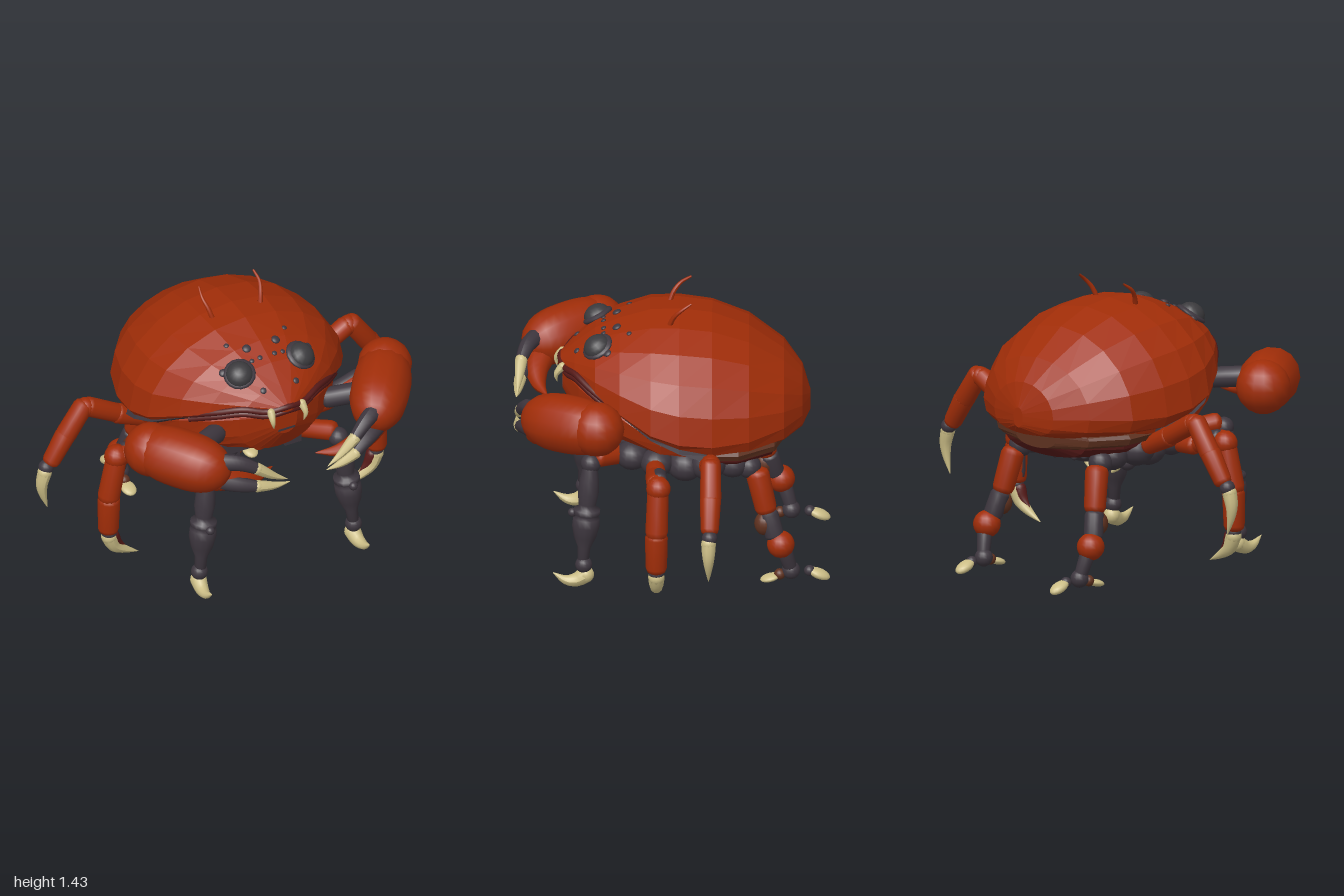
import * as THREE from 'three';

const mat = (name, color) => Object.assign(new THREE.MeshStandardMaterial({ color }), { name });
const shell = mat('rust shell', 0xa02d08);
const dark = mat('dark joint', 0x3d363e);
const cream = mat('cream claw', 0xcbbd86);
const maroon = mat('maroon underside', 0x561a18);
const brown = mat('brown plate', 0x5e311f);
const eyeGrey = mat('grey eye', 0x3b3a3d);

// Cross-sections along z: [z, half width, top y, rim y, bottom y]
const CARAPACE = [
  [-0.68, 0.03, 0.88, 0.84, 0.78], [-0.64, 0.2, 1.0, 0.84, 0.74], [-0.55, 0.36, 1.11, 0.85, 0.72],
  [-0.38, 0.49, 1.235, 0.84, 0.72], [-0.2, 0.55, 1.305, 0.84, 0.73], [-0.04, 0.565, 1.325, 0.86, 0.79],
  [0.1, 0.54, 1.32, 0.9, 0.85], [0.25, 0.45, 1.275, 0.97, 0.94], [0.37, 0.34, 1.22, 1.02, 1.0],
  [0.47, 0.19, 1.14, 1.05, 1.03], [0.55, 0.03, 1.07, 1.06, 1.04]];
const SEAM = CARAPACE.slice(4).map(([z, w, , r, b]) => [z * 0.97, w * 0.955, r, b + 0.01, b - 0.015]);
const LOWER = [
  [-0.35, 0.4, 0.82, 0.78, 0.7], [-0.15, 0.49, 0.86, 0.78, 0.7], [0.05, 0.51, 0.92, 0.83, 0.71],
  [0.22, 0.43, 1.0, 0.92, 0.72], [0.36, 0.33, 1.03, 0.97, 0.74], [0.45, 0.22, 1.04, 1.0, 0.77],
  [0.53, 0.06, 1.04, 1.01, 0.9]];
const REAR = [
  [-0.54, 0.12, 0.76, 0.73, 0.66], [-0.49, 0.28, 0.78, 0.73, 0.61], [-0.32, 0.38, 0.8, 0.73, 0.59],
  [-0.15, 0.4, 0.8, 0.74, 0.6], [-0.08, 0.36, 0.8, 0.75, 0.66]];
const REAR_RIM = REAR.map(([z, w, t, r]) => [z * 1.03, w * 1.12, t, r, r - 0.07]);
const BELLY = [
  [-0.36, 0.08, 0.7, 0.65, 0.58], [-0.25, 0.18, 0.75, 0.66, 0.54], [-0.1, 0.21, 0.76, 0.67, 0.525],
  [0.0, 0.21, 0.76, 0.67, 0.53]];
const CHEST = [[-0.02, 0.17, 0.75, 0.68, 0.52], [0.1, 0.17, 0.75, 0.69, 0.55], [0.2, 0.16, 0.75, 0.71, 0.6],
  [0.26, 0.15, 0.75, 0.72, 0.67]];

// Lofted body with elliptical upper and squarer lower halves, faceted
const LOW_POWER = 0.6;
function loft(stations, n = 24) {
  const pos = [], idx = [], m = stations.length;
  for (const [z, w, top, rim, bot] of stations)
    for (let j = 0; j < n; j++) {
      const a = (j / n) * Math.PI * 2, s = Math.sin(a);
      pos.push(w * Math.cos(a), s > 0 ? rim + s * (top - rim) : rim - (-s) ** LOW_POWER * (rim - bot), z);
    }
  for (const [z, , , rim] of [stations[0], stations[m - 1]]) pos.push(0, rim, z);
  for (let j = 0; j < n; j++) {
    const k = (j + 1) % n, e = (m - 1) * n;
    for (let i = 0; i < m - 1; i++) {
      const a = i * n + j, b = i * n + k;
      idx.push(a, b, a + n, b, b + n, a + n);
    }
    idx.push(m * n, k, j, m * n + 1, e + j, e + k);
  }
  const g = new THREE.BufferGeometry();
  g.setAttribute('position', new THREE.Float32BufferAttribute(pos, 3));
  g.setIndex(idx);
  const flat = g.toNonIndexed();
  flat.computeVertexNormals();
  return flat;
}

// Height of a lofted surface at x, z (side 1 = upper, -1 = lower)
function surfaceY(st, x, z, side) {
  let i = 0;
  while (i < st.length - 2 && st[i + 1][0] < z) i++;
  const t = (z - st[i][0]) / (st[i + 1][0] - st[i][0]);
  const [, w, top, rim, bot] = st[i].map((v, k) => v + (st[i + 1][k] - v) * t);
  const s = Math.sqrt(Math.max(0, 1 - (x / w) ** 2));
  return side > 0 ? rim + (top - rim) * s : rim - (rim - bot) * s ** LOW_POWER;
}

const V = (p) => new THREE.Vector3(...p);
const pill = (a, b = a) => [[0, 0], [0.02, a * 0.55], [0.07, a * 0.88], [0.15, a], [0.5, (a + b) / 2],
  [0.85, b], [0.93, b * 0.88], [0.98, b * 0.55], [1, 0]];
const egg = (r) => Array.from({ length: 17 }, (_, i) => (1 - Math.cos((i / 16) * Math.PI)) / 2)
  .map((t) => [t, r * (1 - Math.abs(2 * t - 1) ** 2.8) ** 0.5]);

export function createModel() {
  const model = new THREE.Group();
  model.name = 'crab';
  let parent = model;
  const add = (name, geo, m) => {
    const mesh = new THREE.Mesh(geo, m);
    mesh.name = name;
    parent.add(mesh);
    return mesh;
  };
  const group = (name) => {
    parent = new THREE.Group();
    parent.name = name;
    model.add(parent);
  };
  // Turned limb between two points, profile of [fraction, radius]
  const limb = (name, m, a, b, profile) => {
    const A = V(a), d = V(b).sub(A), len = d.length();
    const mesh = add(name, new THREE.LatheGeometry(profile.map(([t, r]) => new THREE.Vector2(Math.max(r, 0), t * len)), 14), m);
    mesh.position.copy(A);
    mesh.quaternion.setFromUnitVectors(new THREE.Vector3(0, 1, 0), d.normalize());
  };
  const ball = (name, m, p, r, sx = 1, sy = 1, sz = 1) => {
    const mesh = add(name, new THREE.SphereGeometry(r, 16, 10), m);
    mesh.position.set(...p);
    mesh.scale.set(sx, sy, sz);
    return mesh;
  };
  const box = (name, m, p, s) => add(name, new THREE.BoxGeometry(...s), m).position.set(...p);
  // Curved tapering horn
  const horn = (name, m, pts, r, tip = 0.04) => {
    const curve = new THREE.CatmullRomCurve3(pts.map(V)), N = 10, R = 10;
    const g = new THREE.TubeGeometry(curve, N, r, R), p = g.attributes.position, v = new THREE.Vector3();
    for (let i = 0; i < p.count; i++) {
      const t = Math.floor(i / (R + 1)) / N, c = curve.getPointAt(t);
      v.fromBufferAttribute(p, i).sub(c).multiplyScalar(1 - (1 - tip) * t ** 1.5).add(c);
      p.setXYZ(i, v.x, v.y, v.z);
    }
    g.computeVertexNormals();
    add(name, g, m);
    ball(name + 'Base', m, pts[0], r);
  };
  // Flattened dome lying on the carapace
  const spot = (name, m, x, z, r, flat) => {
    const e = 0.02, y = surfaceY(CARAPACE, x, z, 1);
    const slope = (dx, dz) => (surfaceY(CARAPACE, x + dx, z + dz, 1) - surfaceY(CARAPACE, x - dx, z - dz, 1)) / (2 * e);
    const n = new THREE.Vector3(-slope(e, 0), 1, -slope(0, e)).normalize();
    ball(name, m, [x, y, z], r, 1, flat, 1).quaternion.setFromUnitVectors(new THREE.Vector3(0, 1, 0), n);
  };

  // Body shells
  group('body');
  add('carapace', loft(CARAPACE, 20), shell);
  add('rimSeam', loft(SEAM, 20), dark);
  add('lowerShell', loft(LOWER), shell);
  add('rearUnderside', loft(REAR), maroon);
  add('rearRim', loft(REAR_RIM), brown);
  add('belly', loft(BELLY), dark);
  for (let i = 0; i < 9; i++) {
    const x = ((i % 3) - 1) * 0.13, z = -0.28 - Math.floor(i / 3) * 0.07;
    ball('undersideSpot', dark, [x, surfaceY(REAR, x, z, -1), z], 0.016);
  }

  // Sloping chest plate
  add('chestPanel', loft(CHEST), maroon);
  box('chestBar', dark, [0, 0.722, 0.285], [0.42, 0.05, 0.06]);
  box('chestLowerBar', dark, [0, 0.525, 0.03], [0.25, 0.025, 0.05]);
  ball('chestSpot', shell, [0, 0.665, 0.262], 0.042, 1, 1, 0.25);
  for (const x of [-0.085, 0.085]) ball('chestStud', brown, [x, surfaceY(CHEST, x, 0.19, -1), 0.19], 0.02);

  // Mouth along the front rim
  const lip = [[-0.4, 0.97, 0.28], [-0.3, 1.02, 0.39], [-0.2, 1.05, 0.465], [-0.1, 1.035, 0.515], [0, 1.05, 0.54],
    [0.1, 1.035, 0.515], [0.2, 1.05, 0.465], [0.3, 1.02, 0.39], [0.4, 0.97, 0.28]];
  const lipTube = (dy, dz) => new THREE.TubeGeometry(new THREE.CatmullRomCurve3(lip.map(([x, y, z]) => new THREE.Vector3(x, y + dy, z + dz))), 40, 0.016, 8);
  add('upperLip', lipTube(0.014, 0), maroon);
  add('lowerLip', lipTube(-0.016, -0.008), maroon);
  box('chinSlot', dark, [0, 0.925, 0.525], [0.09, 0.012, 0.012]);

  for (const s of [-1, 1]) {
    const side = s > 0 ? 'left' : 'right';
    const P = (x, y, z) => [s * x, y, z];

    // Face
    group(side + 'Face');
    spot('eye', eyeGrey, s * 0.17, 0.36, 0.068, 0.85);
    spot('eyeSocket', dark, s * 0.168, 0.358, 0.08, 0.3);
    for (const [x, z, r] of [[0.04, 0.33, 0.013], [0.08, 0.265, 0.022], [0.16, 0.205, 0.013], [0.085, 0.33, 0.012],
      [0.09, 0.46, 0.016], [0.235, 0.31, 0.02]]) spot('faceSpot', dark, s * x, z, r, 0.5);
    horn('fang', cream, [P(0.085, 1.05, 0.53), P(0.09, 1.01, 0.56), P(0.082, 0.965, 0.555)], 0.02);
    horn('antenna', shell, [P(0.13, 1.29, 0.01), P(0.145, 1.35, -0.015), P(0.157, 1.39, -0.05), P(0.15, 1.425, -0.1)], 0.013, 0.4);
    horn('bellyHook', cream, [P(0.1, 0.545, -0.08), P(0.105, 0.5, -0.09), P(0.075, 0.47, -0.1)], 0.022, 0.3);

    // Chest rails and clustered hip pods
    horn('chestRail', dark, [P(0.17, 0.7, 0.27), P(0.17, 0.62, 0.21), P(0.17, 0.57, 0.1), P(0.17, 0.54, -0.1)], 0.042, 0.95);
    box('chestClasp', dark, P(0.17, 0.66, 0.25), [0.09, 0.09, 0.06]);
    ball('chestHinge', dark, P(0.17, 0.535, -0.09), 0.042);
    for (const [x, y, z, r] of [[0.27, 0.66, 0.19, 0.08], [0.31, 0.64, 0.07, 0.08], [0.29, 0.62, -0.07, 0.09],
      [0.32, 0.64, -0.18, 0.09], [0.27, 0.62, -0.3, 0.08]]) ball('hipPod', dark, P(x, y, z), r, 1, 0.9, 1);

    // Pincer, the left one raised
    group(side + 'Pincer');
    const up = s > 0 ? 0.07 : 0, x0 = s > 0 ? 0 : 0.025;
    limb('arm', dark, P(0.28, 0.9, 0.36), P(0.46, 0.92 + up * 0.4, 0.46), pill(0.052));
    ball('knuckle', shell, P(0.632 + x0, 0.915 + up, 0.36), 0.134);
    limb('palm', shell, P(0.685 + x0, 0.925 + up, 0.29), P(0.385 + x0, 0.905 + up * 0.4, 0.71), egg(0.145));
    const h = up * 0.5;
    for (const [name, pts] of [
      ['upperFinger', [P(0.44, 0.95 + h, 0.65), P(0.35, 0.945 + h * 0.5, 0.7), P(0.26, 0.9, 0.735), P(0.11, 0.8, 0.75)]],
      ['lowerFinger', [P(0.44, 0.84 + h, 0.65), P(0.35, 0.82 + h, 0.705), P(0.26, 0.8 + h * 0.4, 0.74), P(0.1, 0.785, 0.755)]]]) {
      horn(name, dark, pts.slice(0, 3), 0.045, 0.6);
      horn(name + 'Tip', cream, [pts[2].map((v, i) => v + (pts[1][i] - v) * 0.1), pts[2].map((v, i) => (v + pts[3][i]) / 2 - (i === 1 ? 0.008 : 0)), pts[3]], 0.03);
    }
    horn('thumb', shell, [P(0.44, 0.85 + h, 0.63), P(0.34, 0.82, 0.655), P(0.23, 0.79, 0.645), P(0.12, 0.785, 0.605)], 0.07);

    // Front leg
    group(side + 'FrontLeg');
    limb('thigh', shell, P(0.22, 0.645, 0.2), P(0.36, 0.69, 0.38), pill(0.046, 0.05));
    ball('knee', dark, P(0.36, 0.66, 0.39), 0.05);
    limb('shin', dark, P(0.365, 0.69, 0.39), P(0.425, 0.13, 0.43), [[0, 0], [0.02, 0.03], [0.1, 0.038], [0.2, 0.048], [0.32, 0.052],
      [0.42, 0.043], [0.46, 0.043], [0.47, 0.066], [0.51, 0.066], [0.53, 0.052], [0.55, 0.066], [0.62, 0.068], [0.72, 0.056],
      [0.82, 0.032], [0.95, 0.028], [1, 0]]);
    ball('shinKnob', dark, P(0.395, 0.41, 0.48), 0.022);
    ball('ankle', dark, P(0.425, 0.14, 0.425), 0.042);
    horn('footClaw', cream, [P(0.425, 0.085, 0.415), P(0.43, 0.06, 0.46), P(0.435, 0.06, 0.51), P(0.435, 0.1, 0.575)], 0.041);

    // Second leg
    group(side + 'SecondLeg');
    limb('thigh', shell, P(0.28, 0.63, 0.08), P(0.5, 0.645, 0.07), pill(0.045, 0.05));
    limb('outerThigh', shell, P(0.42, 0.63, 0.08), P(0.69, 0.715, 0.075), pill(0.045));
    limb('thighStrip', dark, P(0.5, 0.67, 0.058), P(0.67, 0.722, 0.055), pill(0.038));
    ball('knee', shell, P(0.69, 0.69, 0.06), 0.06);
    limb('upperShin', shell, P(0.675, 0.75, 0.06), P(0.745, 0.43, 0.07), pill(0.052, 0.056));
    limb('lowerShin', shell, P(0.735, 0.48, 0.07), P(0.74, 0.25, 0.07), pill(0.056, 0.052));
    limb('innerPlate', dark, P(0.7, 0.6, 0.065), P(0.71, 0.27, 0.07), pill(0.025));
    ball('ankle', dark, P(0.735, 0.25, 0.07), 0.038);
    horn('claw', cream, [P(0.735, 0.23, 0.07), P(0.71, 0.17, 0.07), P(0.66, 0.13, 0.07), P(0.575, 0.085, 0.07)], 0.04);
    horn('clawInside', maroon, [P(0.715, 0.23, 0.07), P(0.69, 0.185, 0.07), P(0.645, 0.145, 0.07)], 0.032);

    // Third leg
    group(side + 'ThirdLeg');
    limb('thigh', shell, P(0.38, 0.66, -0.18), P(0.58, 0.755, -0.19), pill(0.045, 0.052));
    limb('upperThigh', shell, P(0.53, 0.73, -0.19), P(0.74, 0.85, -0.195), pill(0.048, 0.05));
    ball('knee', shell, P(0.725, 0.835, -0.195), 0.049);
    limb('upperShin', shell, P(0.72, 0.87, -0.195), P(0.85, 0.68, -0.195), pill(0.05, 0.052));
    limb('lowerShin', shell, P(0.82, 0.73, -0.195), P(0.93, 0.555, -0.19), pill(0.052, 0.045));
    ball('ankle', dark, P(0.945, 0.55, -0.19), 0.038);
    horn('claw', cream, [P(0.955, 0.525, -0.185), P(0.97, 0.46, -0.185), P(0.965, 0.4, -0.185), P(0.94, 0.31, -0.185)], 0.036);

    // Hind leg
    group(side + 'HindLeg');
    ball('hip', dark, P(0.27, 0.6, -0.38), 0.06);
    limb('thigh', shell, P(0.28, 0.595, -0.415), P(0.315, 0.36, -0.47), pill(0.058, 0.054));
    limb('shin', dark, P(0.315, 0.38, -0.47), P(0.345, 0.24, -0.51), pill(0.048));
    ball('shinPad', brown, P(0.325, 0.315, -0.455), 0.055, 0.9, 1.1, 0.9);
    ball('shinBulb', shell, P(0.352, 0.215, -0.535), 0.068);
    limb('ankle', dark, P(0.35, 0.19, -0.55), P(0.325, 0.05, -0.59), pill(0.038, 0.032));
    ball('heel', dark, P(0.325, 0.06, -0.585), 0.045);
    ball('toeJoint', dark, P(0.32, 0.055, -0.675), 0.027);
    ball('rearToe', cream, P(0.32, 0.038, -0.722), 0.058, 0.65, 0.42, 1).rotation.x = -0.4;
    ball('frontToeJoint', brown, P(0.333, 0.042, -0.53), 0.028);
    ball('frontToe', cream, P(0.335, 0.024, -0.483), 0.05, 0.75, 0.36, 1).rotation.x = 0.25;
  }
  return model;
}
